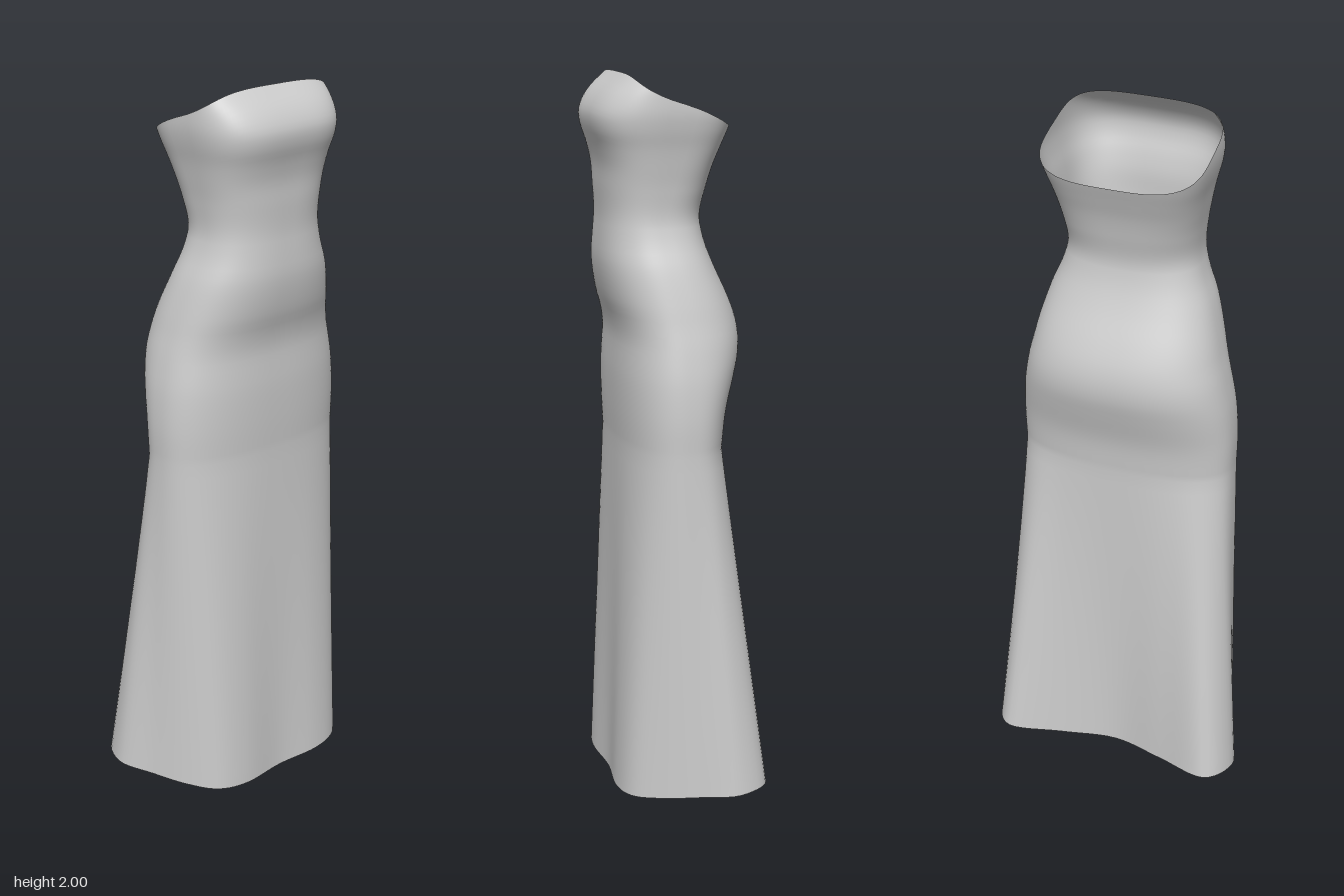
import * as THREE from 'three';

// Bodice and hip profile: height, half width, front z, back z, z of the widest point
const PROFILE = [
  [1.00, 0.307, 0.150, -0.130, 0.00],
  [1.10, 0.308, 0.154, -0.142, 0.00],
  [1.20, 0.300, 0.155, -0.170, 0.00],
  [1.25, 0.291, 0.153, -0.183, 0.00],
  [1.30, 0.280, 0.152, -0.186, 0.00],
  [1.35, 0.267, 0.160, -0.178, 0.005],
  [1.40, 0.255, 0.175, -0.160, 0.01],
  [1.50, 0.225, 0.190, -0.115, 0.03],
  [1.56, 0.200, 0.188, -0.094, 0.04],
  [1.62, 0.185, 0.184, -0.085, 0.05],
  [1.70, 0.189, 0.186, -0.100, 0.04],
  [1.76, 0.198, 0.188, -0.115, 0.03],
  [1.81, 0.207, 0.198, -0.133, 0.02],
  [1.86, 0.219, 0.213, -0.152, 0.01],
  [1.90, 0.225, 0.214, -0.165, 0.00],
  [1.95, 0.224, 0.186, -0.170, 0.00],
  [2.00, 0.220, 0.130, -0.170, 0.00],
];
const profile = new THREE.CubicInterpolant(
  PROFILE.map((p) => p[0]), PROFILE.flatMap((p) => p.slice(1)), 4, new Float32Array(4));

// Half of the hem from front centre to back centre, with a lobe behind each leg
const HEM = [
  [0, 0, 0.168], [0.14, 0.003, 0.18], [0.235, 0.01, 0.157], [0.295, 0.02, 0.085],
  [0.338, 0.03, -0.01], [0.376, 0.04, -0.12], [0.315, 0.045, -0.213],
  [0.16, 0.03, -0.165], [0, 0.02, -0.122],
];
// Mirrored into a closed loop so that both centre lines stay smooth
const hemLoop = new THREE.CatmullRomCurve3(
  [...HEM, ...HEM.slice(1, -1).reverse().map(([x, y, z]) => [-x, y, z])]
    .map((p) => new THREE.Vector3(...p)), true, 'catmullrom', 0.5);

const signedPow = (v, e) => Math.sign(v) * Math.pow(Math.abs(v), e);

// Rounded-box section of the body at a height; angle 0 is the front centre
function bodyPoint(angle, heightAt) {
  const c0 = Math.cos(angle), s0 = Math.sin(angle);
  const y = heightAt(signedPow(c0, 0.65));
  const n = 2.5 + 0.9 * THREE.MathUtils.smoothstep(y, 1.62, 1.88);
  const c = signedPow(c0, 2 / n), s = signedPow(s0, 2 / n);
  const [w, front, back, mid] = profile.evaluate(y);
  return new THREE.Vector3(w * s, y, mid + c * (c > 0 ? front - mid : mid - back));
}

// Joins rings of points into one smooth open tube
function loft(rings) {
  const count = rings[0].length, index = [];
  for (let r = 0; r < rings.length - 1; r++) {
    for (let i = 0; i < count; i++) {
      const j = (i + 1) % count;
      const a = r * count + i, b = r * count + j, c = a + count, d = b + count;
      index.push(a, b, d, a, d, c);
    }
  }
  const geometry = new THREE.BufferGeometry().setFromPoints(rings.flat());
  geometry.setIndex(index);
  geometry.computeVertexNormals();
  return geometry;
}

export function createModel() {
  const SEGMENTS = 96, SKIRT_ROWS = 24, HIP_ROWS = 28, BODICE_ROWS = 28;
  const HIP = 1.0, WAIST = 1.6;
  const ring = (pointAt) => Array.from({ length: SEGMENTS }, (_, i) => pointAt(i / SEGMENTS));
  const rings = [];

  // Skirt: straight blend from the hem up to the hips
  for (let r = 0; r < SKIRT_ROWS; r++) {
    rings.push(ring((u) => hemLoop.getPoint(u)
      .lerp(bodyPoint(u * Math.PI * 2, () => HIP), r / SKIRT_ROWS)));
  }
  // Hips up to the waist
  for (let r = 0; r < HIP_ROWS; r++) {
    const y = THREE.MathUtils.lerp(HIP, WAIST, r / HIP_ROWS);
    rings.push(ring((u) => bodyPoint(u * Math.PI * 2, () => y)));
  }
  // Strapless bodice: its rows tilt gradually to the sloping neckline
  for (let r = 0; r <= BODICE_ROWS; r++) {
    const t = r / BODICE_ROWS;
    rings.push(ring((u) => bodyPoint(u * Math.PI * 2, (c) => {
      const rim = 1.925 + c * (c > 0 ? 0.075 : 0.07);
      return THREE.MathUtils.lerp(WAIST, rim, t);
    })));
  }

  const material = new THREE.MeshStandardMaterial({ color: 0xcccccc, side: THREE.DoubleSide });
  const gown = new THREE.Mesh(loft(rings), material);
  gown.name = 'gown';

  const model = new THREE.Group();
  model.name = 'straplessGown';
  model.add(gown);
  return model;
}
